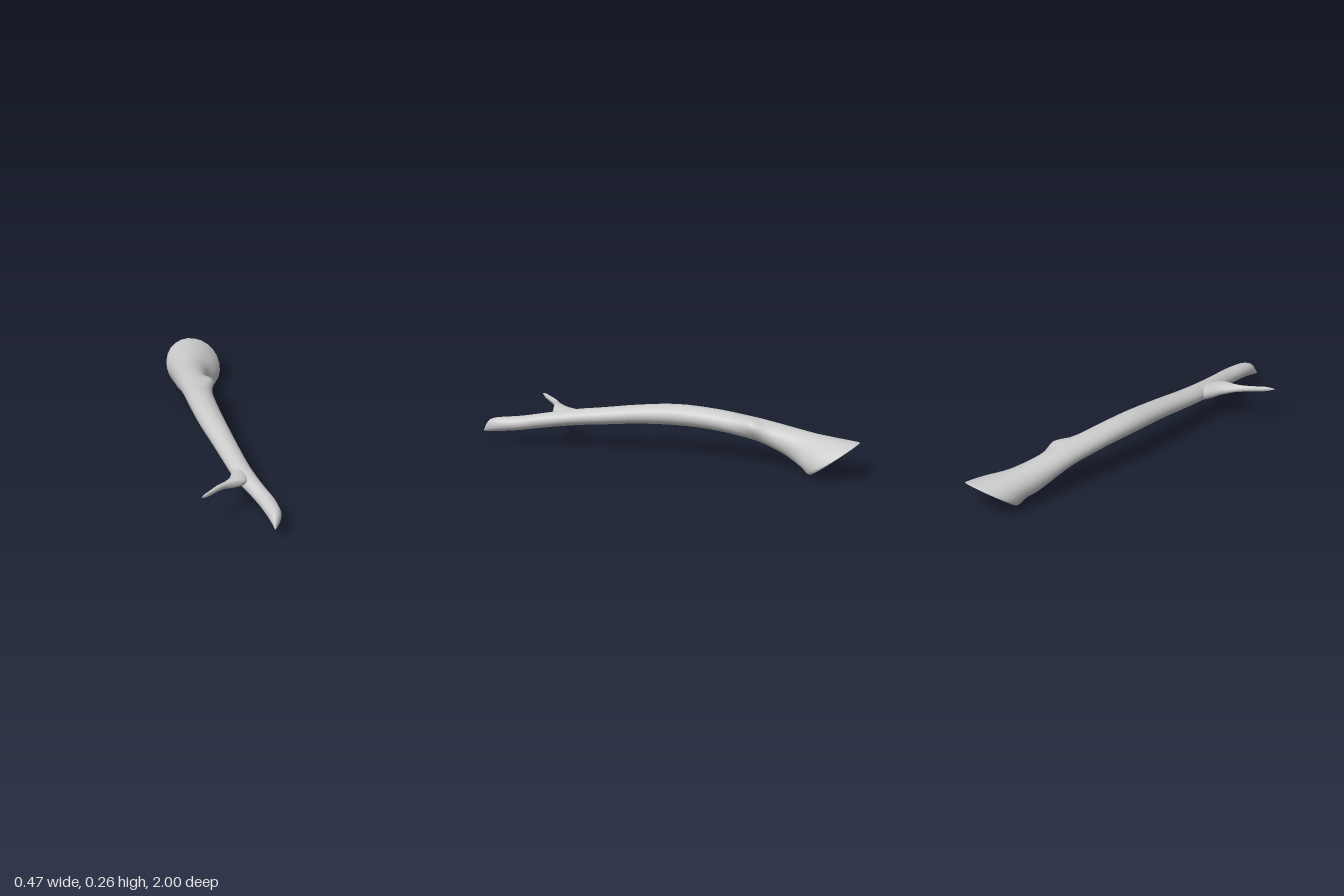
import * as THREE from 'three';

const material = new THREE.MeshStandardMaterial({ color: 0xcccccc, roughness: 0.9 });

// Smooth skin through oval stations [x, y, z, halfWidth, halfHeight, tilt], running from +z to -z.
// tilt leans a ring's top backwards; bump(point, angle) may push a vertex outwards.
function loft(name, stations, sides, steps, bump) {
  const centre = new THREE.CatmullRomCurve3(
    stations.map(([x, y, z]) => new THREE.Vector3(x, y, z)), false, 'catmullrom', 0.5);
  const size = new THREE.CatmullRomCurve3(
    stations.map(([, , , w, h, tilt]) => new THREE.Vector3(w, h, tilt)), false, 'catmullrom', 0.5);
  const rings = (stations.length - 1) * steps;
  const positions = [];
  const index = [];
  for (let i = 0; i <= rings; i++) {
    const c = centre.getPoint(i / rings);
    const s = size.getPoint(i / rings);
    for (let j = 0; j < sides; j++) {
      const a = (j / sides) * Math.PI * 2;
      const p = new THREE.Vector3(
        c.x + s.x * Math.cos(a),
        c.y + s.y * Math.sin(a),
        c.z - s.z * s.y * Math.sin(a));
      if (bump) bump(p, a);
      positions.push(p.x, p.y, p.z);
      if (i < rings) {
        const k = (j + 1) % sides;
        const p0 = i * sides + j, p1 = i * sides + k;
        const q0 = p0 + sides, q1 = p1 + sides;
        index.push(p0, q0, p1, p1, q0, q1);
      }
    }
  }
  const geometry = new THREE.BufferGeometry();
  geometry.setAttribute('position', new THREE.Float32BufferAttribute(positions, 3));
  geometry.setIndex(index);
  geometry.computeVertexNormals();
  const mesh = new THREE.Mesh(geometry, material);
  mesh.name = name;
  return mesh;
}

// Small knot on the upper left flank of the branch
function knot(p, a) {
  const da = Math.atan2(Math.sin(a - 0.5), Math.cos(a - 0.5));
  const push = 0.03 * Math.exp(-(((p.z + 0.43) / 0.06) ** 2) - (da / 0.5) ** 2);
  p.x += push * Math.cos(a);
  p.y += push * Math.sin(a);
}

export function createModel() {
  const group = new THREE.Group();
  group.name = 'branch';

  // Arched main stem: bevelled tip, long bow, flared butt with a dished cut face
  group.add(loft('stem', [
    [0.103, 0.061, 1.0, 0.001, 0.001, 0],
    [0.111, 0.088, 0.975, 0.018, 0.026, 0],
    [0.116, 0.1, 0.945, 0.03, 0.034, 0],
    [0.117, 0.108, 0.9, 0.038, 0.036, 0],
    [0.105, 0.12, 0.8, 0.043, 0.036, 0],
    [0.08, 0.135, 0.7, 0.044, 0.037, 0],
    [0.055, 0.149, 0.6, 0.049, 0.039, 0],
    [0.036, 0.162, 0.5, 0.053, 0.041, 0],
    [0.026, 0.173, 0.4, 0.054, 0.043, 0],
    [0.008, 0.197, 0.2, 0.058, 0.048, 0],
    [-0.004, 0.21, 0.0, 0.064, 0.053, 0],
    [-0.002, 0.205, -0.2, 0.067, 0.053, 0],
    [0.012, 0.185, -0.4, 0.072, 0.055, 0],
    [0.02, 0.167, -0.5, 0.075, 0.06, 0.1],
    [0.03, 0.143, -0.6, 0.08, 0.068, 0.3],
    [0.05, 0.12, -0.7, 0.093, 0.075, 0.7],
    [0.08, 0.108, -0.79, 0.118, 0.08, 1.15],
    [0.098, 0.092, -0.865, 0.136, 0.09, 1.4],
    [0.1, 0.094, -0.885, 0.124, 0.08, 1.4],
    [0.1, 0.096, -0.877, 0.09, 0.058, 1.4],
    [0.1, 0.098, -0.856, 0.05, 0.03, 1.4],
    [0.1, 0.1, -0.852, 0.0005, 0.0005, 1.4],
  ], 24, 4, knot));

  // Tapering side twig, its root buried in the stem
  group.add(loft('sideTwig', [
    [-0.235, 0.18, 0.8, 0.001, 0.001, 0],
    [-0.205, 0.179, 0.775, 0.011, 0.011, 0],
    [-0.178, 0.178, 0.75, 0.014, 0.013, 0],
    [-0.122, 0.177, 0.7, 0.021, 0.016, 0],
    [-0.085, 0.175, 0.677, 0.032, 0.019, 0],
    [-0.042, 0.172, 0.66, 0.058, 0.023, 0],
    [-0.018, 0.168, 0.635, 0.06, 0.027, 0],
    [0.003, 0.163, 0.6, 0.053, 0.031, 0],
    [0.016, 0.159, 0.55, 0.045, 0.033, 0],
    [0.032, 0.16, 0.46, 0.03, 0.025, 0],
  ], 16, 4));

  return group;
}
